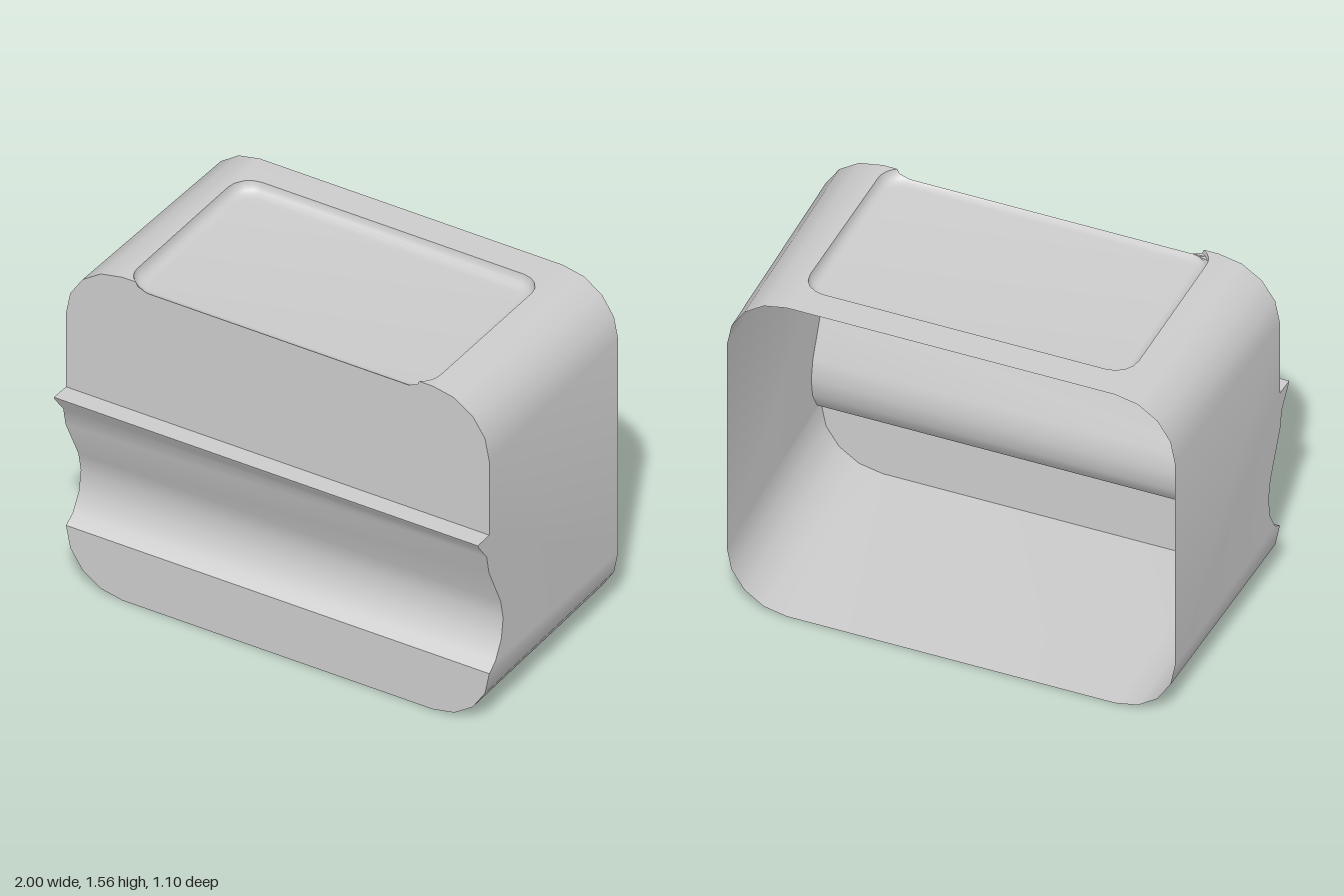
import * as THREE from 'three';
import { mergeGeometries, toCreasedNormals } from 'three/addons/utils/BufferGeometryUtils.js';

const BACK = -0.549, FRONT = 0.46, LIP = 0.549, TOP = 1.56, R = 0.267;
// the body narrows slightly towards the open back
const taper = (z) => 1 - 0.025 * (LIP - z) / (LIP - BACK);

// front moulding from bottom to top, as [z, y]
const moulding = [
  [FRONT, R], [0.413, 0.298], [0.366, 0.38], [0.352, 0.473], [0.37, 0.563],
  [0.463, 0.757], [0.48, 0.841], [0.541, 0.92], [LIP, 0.936], [FRONT, 0.936],
];

// sheet of quads through rows of [x, y, z] points
function sheet(rows) {
  const p = [];
  for (let i = 0; i < rows.length - 1; i++) {
    for (let j = 0; j < rows[i].length - 1; j++) {
      const a = rows[i][j], b = rows[i][j + 1], c = rows[i + 1][j + 1], d = rows[i + 1][j];
      p.push(...a, ...b, ...c, ...a, ...c, ...d);
    }
  }
  const g = new THREE.BufferGeometry();
  g.setAttribute('position', new THREE.Float32BufferAttribute(p, 3));
  return g;
}

// flat outline, each point placed in space by a rule
function plate(points, place, flip = false) {
  const shape = new THREE.Shape(points.map(([u, v]) => new THREE.Vector2(u, v)));
  const src = new THREE.ShapeGeometry(shape);
  const pos = src.attributes.position, idx = src.index.array, p = [];
  for (let t = 0; t < idx.length; t += 3) {
    const tri = flip ? [idx[t], idx[t + 2], idx[t + 1]] : [idx[t], idx[t + 1], idx[t + 2]];
    tri.forEach((k) => p.push(...place(pos.getX(k), pos.getY(k))));
  }
  const g = new THREE.BufferGeometry();
  g.setAttribute('position', new THREE.Float32BufferAttribute(p, 3));
  return g;
}

function arc(cx, cy, r, from, to, n = 4) {
  return Array.from({ length: n + 1 }, (_, i) => {
    const a = (from + (to - from) * i / n) * Math.PI / 180;
    return [cx + r * Math.cos(a), cy + r * Math.sin(a)];
  });
}

// tray: corner radius, fillet radius, and corner centres
const CORNER = 0.1, FILLET = 0.05, CX = 0.615, BACK_V = 0.31;
const filletInset = (deg) => FILLET * (1 - Math.cos(deg * Math.PI / 180));
const filletDrop = (deg) => FILLET * Math.sin(deg * Math.PI / 180);
// the front panel cuts the tray where its fillet is at 45 degrees
const REACH = CORNER - filletInset(45);

// tray ring at a fillet angle as [x, -z], from front right round to front left
function trayRing(deg) {
  const r = CORNER - filletInset(deg);
  const start = Math.asin(Math.min(1, REACH / r)) * 180 / Math.PI;
  const right = [...arc(CX, REACH - FRONT, r, -start, 0), ...arc(CX, BACK_V, r, 0, 90)];
  return [...right, ...right.map(([x, v]) => [-x, v]).reverse()];
}

export function createModel() {
  const group = new THREE.Group();
  const grey = new THREE.MeshStandardMaterial({ color: 0xcccccc, side: THREE.DoubleSide });
  grey.name = 'grey';
  const add = (name, parts) => {
    const mesh = new THREE.Mesh(toCreasedNormals(mergeGeometries(parts), 0.6), grey);
    mesh.name = name;
    group.add(mesh);
  };

  // rounded corner arcs of the body section
  const c = 1 - R;
  const bottomLeft = arc(-c, R, R, 180, 270), bottomRight = arc(c, R, R, 270, 360);
  const topRight = arc(c, TOP - R, R, 0, 90), topLeft = arc(-c, TOP - R, R, 90, 180);
  const wrap = (path) => sheet([BACK, FRONT].map((z) => path.map(([x, y]) => [x * taper(z), y, z])));

  // shell: floor, corners, side walls and pierced top
  const side = [[BACK, R], ...moulding, [FRONT, TOP - R], [BACK, TOP - R]];
  const topEdge = (s, z) => [s * c * taper(z), -z];
  const topOutline = [
    ...trayRing(0), topEdge(-1, FRONT), topEdge(-1, BACK), topEdge(1, BACK), topEdge(1, FRONT),
  ];
  add('shell', [
    wrap([...bottomLeft, ...bottomRight]), wrap(topRight), wrap(topLeft),
    plate(side, (z, y) => [-taper(z), y, z]),
    plate(side, (z, y) => [taper(z), y, z], true),
    plate(topOutline, (x, v) => [x, TOP, -v]),
  ]);

  // tray sunk in the top: rim open at the front, filleted bowl closed all round, flat floor
  const rim = [0, 22.5, 45], bowl = [45, 67.5, 90];
  const lower = (ring, deg) => ring.map(([x, v]) => [x, TOP - filletDrop(deg), -v]);
  add('topTray', [
    sheet(rim.map((deg) => lower(trayRing(deg), deg))),
    sheet(bowl.map((deg) => {
      const ring = trayRing(deg);
      return lower([...ring, ring[0]], deg);
    })),
    plate(trayRing(90), (x, v) => [x, TOP - FILLET, -v]),
  ]);

  // front panels above and below the moulding
  const onFront = (x, y) => [x * taper(FRONT), y, FRONT];
  const notch = rim.map((deg) => [trayRing(deg)[0][0] / taper(FRONT), TOP - filletDrop(deg)]);
  add('upperFrontPanel', [plate([
    [-1, 0.936], [1, 0.936], ...topRight, ...notch,
    ...notch.map(([x, y]) => [-x, y]).reverse(), ...topLeft,
  ], onFront)]);
  add('lowerFrontPanel', [plate([...bottomLeft, ...bottomRight], onFront)]);

  // concave moulding with a projecting lip
  add('frontMoulding', [sheet(moulding.map(([z, y]) => [[-taper(z), y, z], [taper(z), y, z]]))]);

  return group;
}
